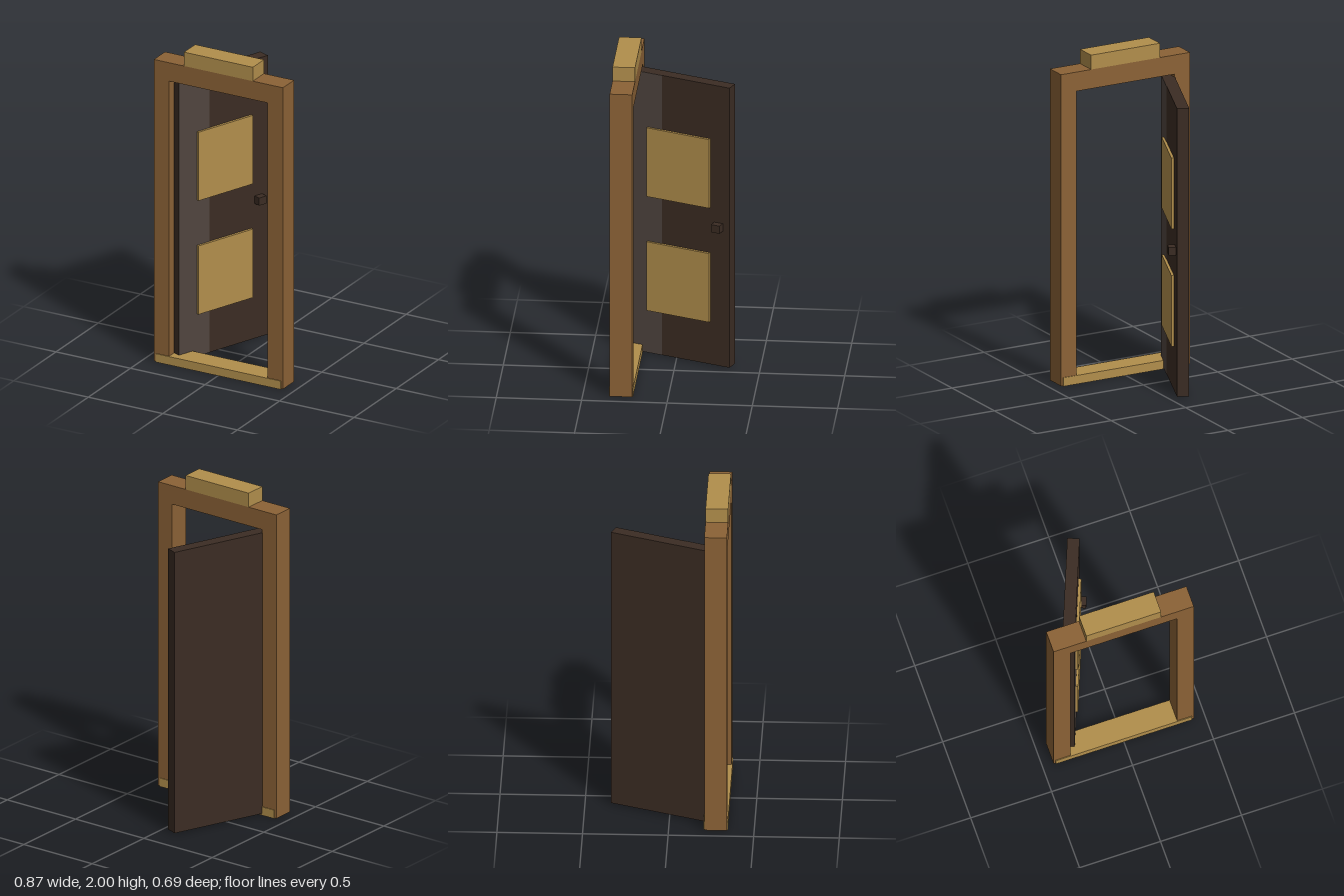
import * as THREE from 'three';

const makeMaterial = (name, color) => {
  const m = new THREE.MeshStandardMaterial({ color });
  m.name = name;
  return m;
};

export function createModel() {
  const brownWood = makeMaterial('brownWood', 0x8b6236);
  const paleWood = makeMaterial('paleWood', 0xb18e4c);
  const darkWood = makeMaterial('darkWood', 0x3b2c23);
  const greyWood = makeMaterial('greyWood', 0x50453f);

  // Box given by its lower and upper bounds on each axis
  const box = (parent, name, material, [x0, x1], [y0, y1], [z0, z1]) => {
    const mesh = new THREE.Mesh(new THREE.BoxGeometry(x1 - x0, y1 - y0, z1 - z0), material);
    mesh.position.set((x0 + x1) / 2, (y0 + y1) / 2, (z0 + z1) / 2);
    mesh.name = name;
    parent.add(mesh);
  };

  const model = new THREE.Group();
  model.name = 'openDoor';

  // Door frame: two jambs and a head in one arch-shaped outline
  const outline = new THREE.Shape([
    [-0.433, 0.003], [-0.33, 0.003], [-0.33, 1.795], [0.33, 1.795],
    [0.33, 0.003], [0.433, 0.003], [0.433, 1.912], [-0.433, 1.912],
  ].map(([x, y]) => new THREE.Vector2(x, y)));
  const frame = new THREE.Mesh(
    new THREE.ExtrudeGeometry(outline, { depth: 0.132, bevelEnabled: false }), brownWood);
  frame.position.z = 0.209;
  frame.name = 'doorFrame';
  model.add(frame);

  // Threshold and the block above the head
  box(model, 'threshold', paleWood, [-0.42, 0.42], [0, 0.053], [0.205, 0.346]);
  box(model, 'topBlock', paleWood, [-0.231, 0.231], [1.912, 2], [0.209, 0.341]);

  // Door leaf, swung open about its hinge edge; local +z is its panelled face
  const door = new THREE.Group();
  door.name = 'door';
  door.position.set(-0.29, 0, 0.298);
  door.rotation.y = THREE.MathUtils.degToRad(68.3);
  model.add(door);

  box(door, 'doorLeaf', darkWood, [0, 0.667], [0.01, 1.776], [-0.072, 0]);
  box(door, 'hingeStrip', greyWood, [0, 0.227], [0.01, 1.776], [0, 0.002]);
  for (const [name, y] of [['lowerPanel', 0.28], ['upperPanel', 1.0]]) {
    box(door, name, paleWood, [0.135, 0.542], [y, y + 0.434], [0, 0.016]);
  }
  box(door, 'knob', darkWood, [0.567, 0.623], [0.864, 0.912], [0, 0.043]);

  return model;
}
